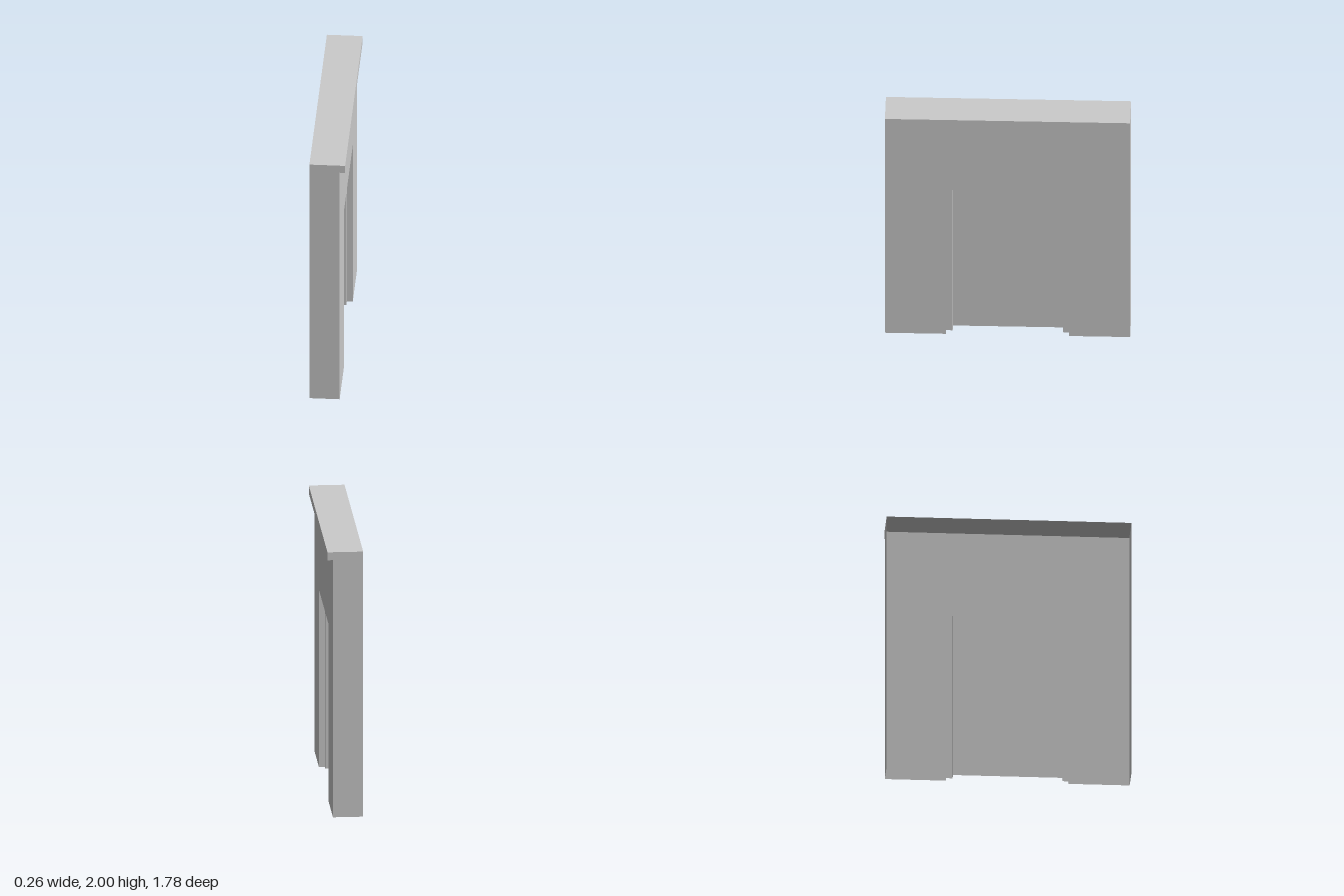
import * as THREE from 'three';

const BACK = -0.13, WALL = 0.09, LEDGE = 0.13;  // x of the open back, wall face and cornice face
const STEP = 0.047, DOOR = -0.01;               // x of the frame step and the door leaf
const HALF = 0.89, TOP = 2, CORNICE = 1.94;     // half width (z), height, cornice underside
const OUTER = { w: 0.447, h: 1.338 };           // opening in the wall
const INNER = { w: 0.4, h: 1.292 };             // opening in the frame

const material = new THREE.MeshStandardMaterial({ color: 0xcccccc, side: THREE.DoubleSide });

function add(group, name, geometry) {
  const mesh = new THREE.Mesh(geometry, material);
  mesh.name = name;
  group.add(mesh);
  return mesh;
}

// Flat-shaded strip: a polyline swept along one straight direction
function sweep(points, dir) {
  const pos = [];
  for (let i = 0; i < points.length - 1; i++) {
    const a = points[i], b = points[i + 1];
    const a2 = a.clone().add(dir), b2 = b.clone().add(dir);
    for (const p of [a, b, b2, a, b2, a2]) pos.push(p.x, p.y, p.z);
  }
  const geometry = new THREE.BufferGeometry();
  geometry.setAttribute('position', new THREE.Float32BufferAttribute(pos, 3));
  geometry.computeVertexNormals();
  return geometry;
}

// Corners of a doorway outline: up one jamb, across, down the other
const arch = ({ w, h }) => [[w, 0], [w, h], [-w, h], [-w, 0]].map(p => new THREE.Vector2(...p));

// Flat panel facing +x, optionally with a doorway cut up from its lower edge
function panel(size, opening, x) {
  const outline = arch(size);
  if (opening) outline.push(...arch(opening).reverse());
  return new THREE.ShapeGeometry(new THREE.Shape(outline)).rotateY(Math.PI / 2).translate(x, 0, 0);
}

// Jambs and head between two depths, facing into the opening
function reveal(opening, front, back) {
  const path = arch(opening).map(p => new THREE.Vector3(back, p.y, p.x));
  return sweep(path, new THREE.Vector3(front - back, 0, 0));
}

export function createModel() {
  const group = new THREE.Group();
  group.name = 'doorwayWall';

  // Wall face with the doorway
  add(group, 'wallFace', panel({ w: HALF, h: CORNICE }, OUTER, WALL));

  // Cornice and top, one continuous strip
  const crown = [[WALL, CORNICE], [LEDGE, CORNICE], [LEDGE, TOP], [BACK, TOP]];
  add(group, 'corniceAndTop', sweep(
    crown.map(([x, y]) => new THREE.Vector3(x, y, -HALF)), new THREE.Vector3(0, 0, 2 * HALF)));

  // End panels, including the cornice ends
  const end = new THREE.Shape([[BACK, 0], [WALL, 0], ...crown].map(p => new THREE.Vector2(...p)));
  for (const [name, z] of [['frontEndPanel', HALF], ['rearEndPanel', -HALF]]) {
    add(group, name, new THREE.ShapeGeometry(end)).position.z = z;
  }

  // Stepped door recess
  const doorway = new THREE.Group();
  doorway.name = 'doorway';
  group.add(doorway);
  add(doorway, 'outerReveal', reveal(OUTER, WALL, STEP));
  add(doorway, 'doorFrame', panel(OUTER, INNER, STEP));
  add(doorway, 'innerReveal', reveal(INNER, STEP, DOOR));
  add(doorway, 'doorLeaf', panel(INNER, null, DOOR));

  return group;
}
